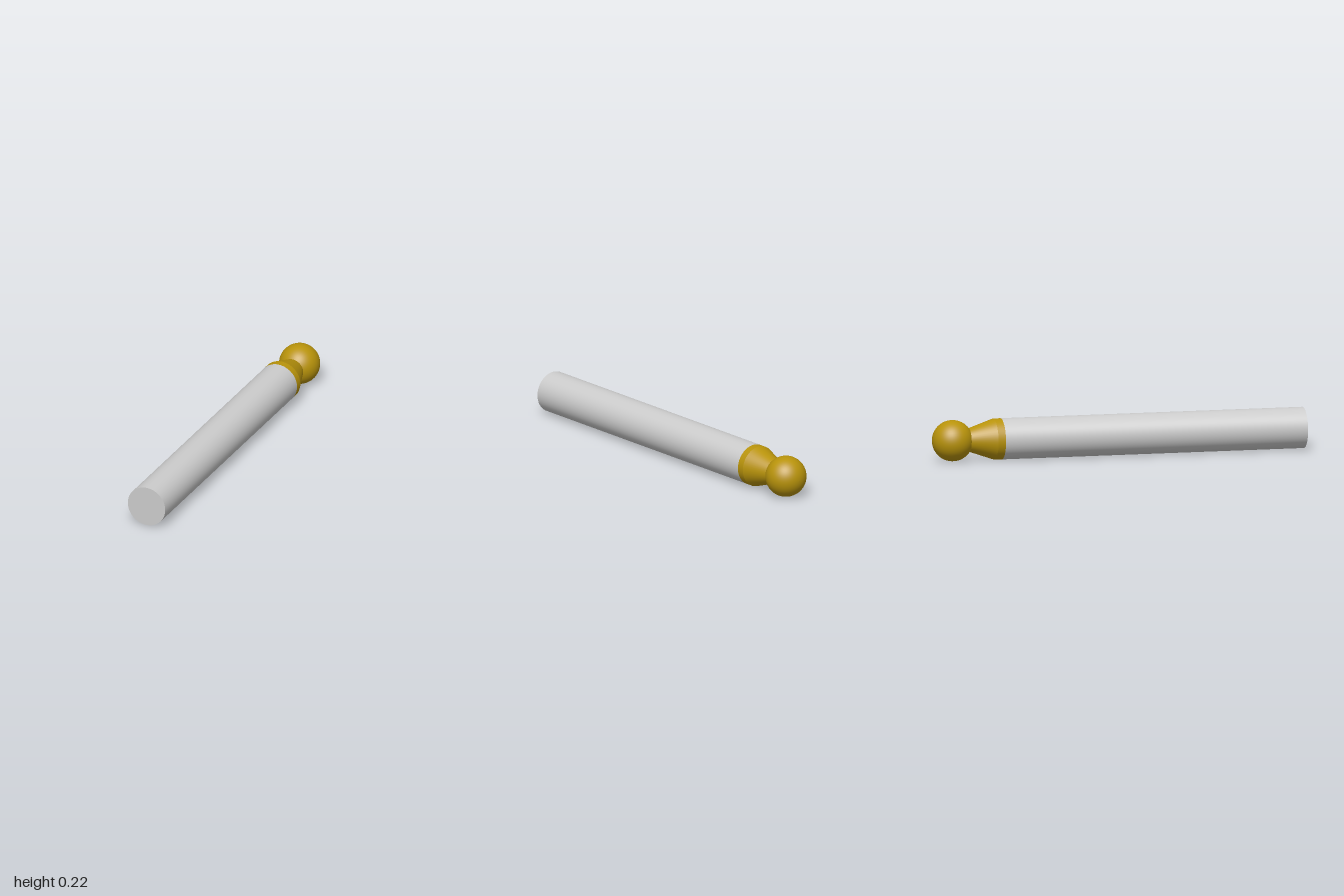
import * as THREE from 'three';

const R = 0.108;        // shank and ball radius
const NECK = 0.062;     // radius where the neck meets the ball
const BALL_Z = -1 + R;  // ball centre
const SEGMENTS = 48;

// Surface of revolution about the z axis; profile points are [radius, z], front to back.
function turned(name, profile, material) {
  const points = profile.map(([r, z]) => new THREE.Vector2(r, -z));
  const geometry = new THREE.LatheGeometry(points, SEGMENTS).rotateX(-Math.PI / 2);
  const mesh = new THREE.Mesh(geometry, material);
  mesh.name = name;
  return mesh;
}

export function createModel() {
  const model = new THREE.Group();
  model.name = 'ballNoseTool';
  const grey = new THREE.MeshStandardMaterial({ color: 0xcccccc });
  const gold = new THREE.MeshStandardMaterial({ color: 0xb8930b });

  // Plain cylindrical shank with flat ends
  const shankLength = 1.63;
  const shank = new THREE.Mesh(
    new THREE.CylinderGeometry(R, R, shankLength, SEGMENTS).rotateX(Math.PI / 2),
    grey
  );
  shank.name = 'shank';
  shank.position.z = 1 - shankLength / 2;
  model.add(shank);

  // Cutting head: short collar, tapered neck and ball tip, split at the sharp edges
  const neckAngle = Math.asin(NECK / R);
  const neckZ = BALL_Z + R * Math.cos(neckAngle);
  const ballProfile = [];
  for (let i = 0; i <= 28; i++) {
    const a = neckAngle + (Math.PI - neckAngle) * (i / 28);
    ballProfile.push([Math.max(0, R * Math.sin(a)), BALL_Z + R * Math.cos(a)]);
  }
  const head = new THREE.Group();
  head.name = 'cuttingHead';
  head.add(
    turned('collar', [[R, -0.63], [R, -0.67]], gold),
    turned('taperedNeck', [[R, -0.67], [NECK, neckZ]], gold),
    turned('ballTip', ballProfile, gold)
  );
  model.add(head);

  // Rest the tool on the ground
  shank.position.y = R;
  head.position.y = R;
  return model;
}
